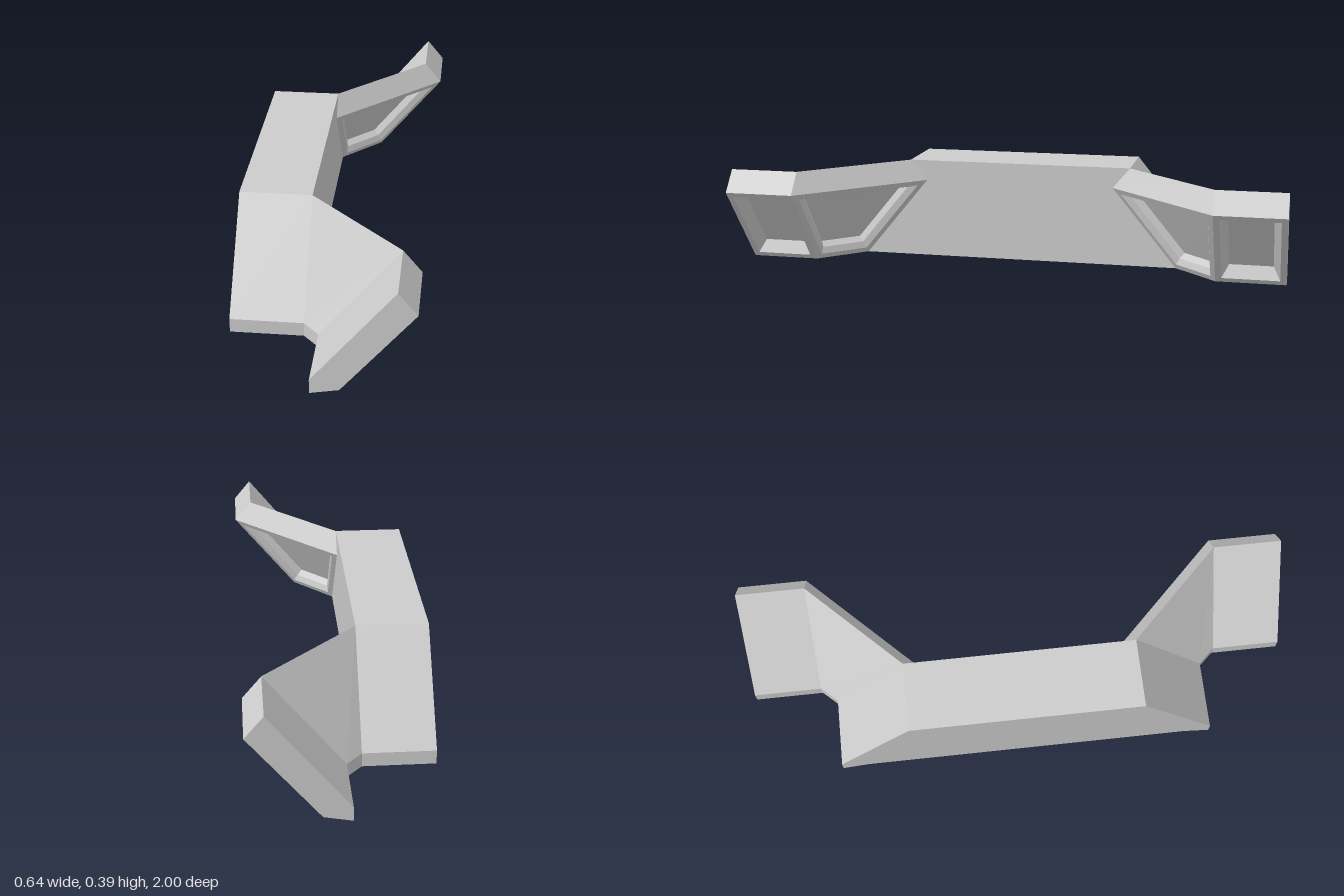
import * as THREE from 'three';

// wall section: [offset inward from the foot, height]
const PROFILE = [[0, 0], [0.095, 0.018], [0.335, 0.31], [0.272, 0.386], [0, 0.05]];
const FOOT_X = -0.015, FOOT_Z = 0.69, JOIN_X = -0.07, BACK_X = -0.32, BEND_Z = 0.75;

const material = new THREE.MeshStandardMaterial({ color: 0xcccccc, flatShading: true });

// flat-shaded mesh from convex polygons, corners counter-clockwise seen from outside
function polyMesh(name, polys) {
  const pos = [];
  for (const p of polys) {
    for (let i = 1; i < p.length - 1; i++) {
      for (const v of [p[0], p[i], p[i + 1]]) pos.push(v.x, v.y, v.z);
    }
  }
  const geometry = new THREE.BufferGeometry();
  geometry.setAttribute('position', new THREE.Float32BufferAttribute(pos, 3));
  geometry.computeVertexNormals();
  const mesh = new THREE.Mesh(geometry, material);
  mesh.name = name;
  return mesh;
}

// shrink a planar polygon by w and push it inwards by d
function inset(poly, w, d, normal) {
  return poly.map((p, i) => {
    const a = poly[(i + 1) % poly.length].clone().sub(p).normalize();
    const b = poly[(i + poly.length - 1) % poly.length].clone().sub(p).normalize();
    const sin = a.clone().cross(b).length();
    return p.clone().addScaledVector(a.add(b), w / sin).addScaledVector(normal, -d);
  });
}

// framed recess: rings of quads stepping inwards, closed by a floor
function recessedPanel(name, poly, steps) {
  const normal = poly[1].clone().sub(poly[0]).cross(poly[2].clone().sub(poly[0])).normalize();
  const polys = [];
  let ring = poly;
  for (const [w, d] of steps) {
    const next = inset(ring, w, d, normal);
    ring.forEach((p, i) => {
      const j = (i + 1) % ring.length;
      polys.push([p, ring[j], next[j], next[i]]);
    });
    ring = next;
  }
  polys.push(ring);
  return polyMesh(name, polys);
}

// one arm: an end wall along z and a diagonal wall leading to the centre block
function createArm(name, side) {
  const arm = new THREE.Group();
  arm.name = name;
  const orient = (poly) => (side > 0 ? poly : [...poly].reverse());
  const station = (f) => PROFILE.map(([u, y]) => {
    const [x, z] = f(u);
    return new THREE.Vector3(x, y, z * side);
  });
  const end = station((u) => [FOOT_X + u, 1]);
  const bend = station((u) => [FOOT_X + u, BEND_Z]);
  const join = station((u) => [JOIN_X, FOOT_Z - u]);

  const walls = [
    ['endWall', end, bend, [[0.022, 0], [0.025, 0.045]]],
    ['diagonalWall', bend, join, [[0.022, 0], [0.018, 0.018], [0.006, 0.027]]],
  ];
  for (const [wallName, a, b, steps] of walls) {
    const shell = [];
    for (let i = 0; i < a.length; i++) {
      const j = (i + 1) % a.length;
      const quad = orient([a[i], b[i], b[j], a[j]]);
      if (i === 1) arm.add(recessedPanel(wallName + 'Panel', quad, steps));
      else shell.push(quad);
    }
    if (a === end) shell.push(orient(end));
    arm.add(polyMesh(wallName, shell));
  }
  return arm;
}

// solid middle block with sloped sides and a small foot along each lower edge
function createCentreBlock() {
  const half = [0, 4, 3].map((i) => [FOOT_Z - PROFILE[i][0], PROFILE[i][1]]);
  const under = [FOOT_Z - PROFILE[1][0], PROFILE[1][1]];
  const right = [under, ...half];
  const left = right.map(([z, y]) => [-z, y]).reverse();
  const shape = new THREE.Shape([...right, ...left].map(([z, y]) => new THREE.Vector2(z, y)));
  const geometry = new THREE.ExtrudeGeometry(shape, { depth: JOIN_X - BACK_X, bevelEnabled: false });
  geometry.rotateY(Math.PI / 2).translate(BACK_X, 0, 0);
  const mesh = new THREE.Mesh(geometry, material);
  mesh.name = 'centreBlock';
  return mesh;
}

export function createModel() {
  const model = new THREE.Group();
  model.name = 'angledWall';
  model.add(createCentreBlock(), createArm('frontArm', 1), createArm('backArm', -1));
  return model;
}
